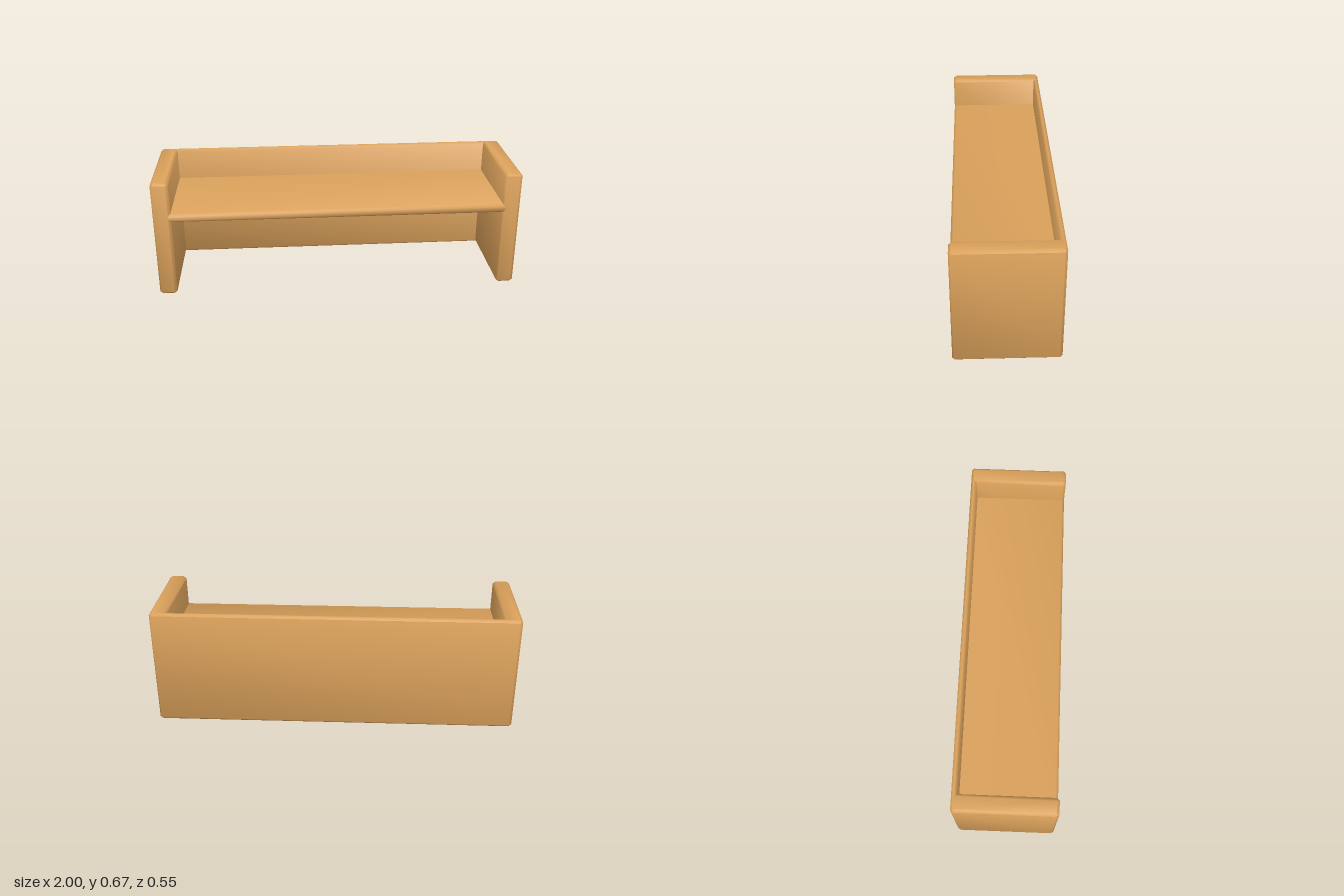
import * as THREE from 'three';
import { toCreasedNormals } from 'three/addons/utils/BufferGeometryUtils.js';

const W = 1, D = 0.275, H = 0.665; // half width, half depth, height
const ARM = 0.095, BACK = 0.03, C = 0.013; // arm and back thickness, chamfer
const SEAT_TOP = 0.488, SEAT_LOW = 0.438;

const shapeOf = (points) => new THREE.Shape(points.map(([x, y]) => new THREE.Vector2(x, y)));

export function createModel() {
  const group = new THREE.Group();
  const material = new THREE.MeshStandardMaterial({ color: 0xd9a05a });

  const add = (name, geometry) => {
    const mesh = new THREE.Mesh(toCreasedNormals(geometry, THREE.MathUtils.degToRad(50)), material);
    mesh.name = name;
    group.add(mesh);
  };

  // U-shaped plan of both arms and the back, raised with chamfered rims (plan y = -z)
  const inner = W - ARM;
  const half = [
    [W - C, D], [W, D - C], [W, -D + C], [W - C, -D],
    [inner + C, -D], [inner, -D + C], [inner, D - BACK],
  ];
  const mirrored = half.map(([x, y]) => [-x, y]).reverse();
  const frame = new THREE.ExtrudeGeometry(shapeOf([...half, ...mirrored].reverse()), {
    depth: H - 2 * C, bevelEnabled: true, bevelSegments: 1,
    bevelThickness: C, bevelSize: C, bevelOffset: -C,
  });
  frame.rotateX(-Math.PI / 2).translate(0, C, 0);
  add('armsAndBack', frame);

  // Seat board with a chamfered front edge, ends buried in the arms (profile x = -z)
  const seatHalf = inner + 0.02;
  const seat = new THREE.ExtrudeGeometry(shapeOf([
    [-D, SEAT_LOW + C], [-D + C, SEAT_LOW], [D - BACK / 2, SEAT_LOW],
    [D - BACK / 2, SEAT_TOP], [-D + C, SEAT_TOP], [-D, SEAT_TOP - C],
  ]), { depth: 2 * seatHalf, bevelEnabled: false });
  seat.rotateY(Math.PI / 2).translate(-seatHalf, 0, 0);
  add('seat', seat);

  return group;
}
